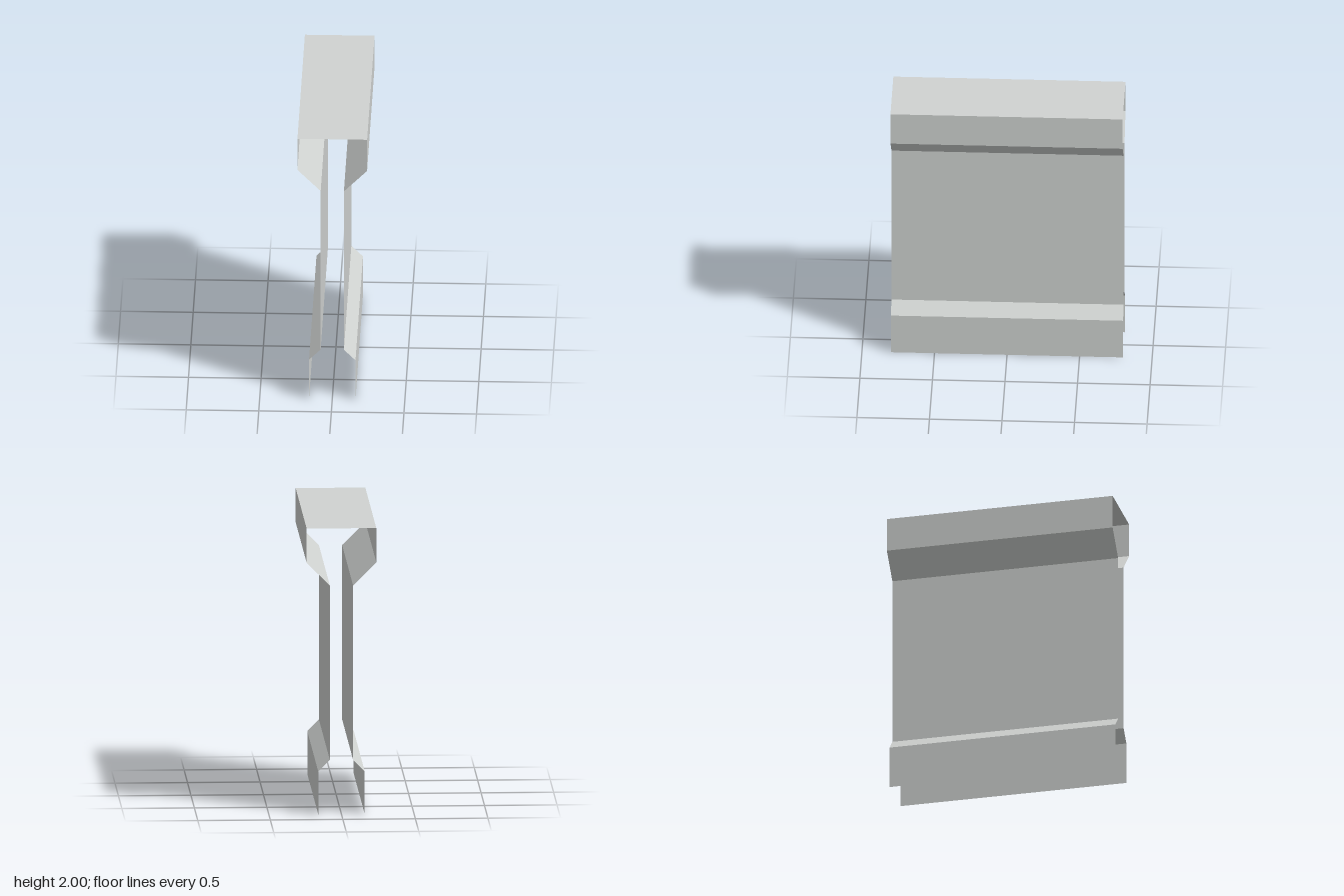
import * as THREE from 'three';

const HALF_LENGTH = 0.8;

// Half of the sheet's profile, from the middle of the roof down to the foot: [x, y]
const PROFILE = [[0.24, 2], [0.24, 1.76], [0.08, 1.6], [0.08, 0.38], [0.16, 0.3], [0.16, 0]];
const NAMES = ['headSide', 'headSlope', 'web', 'footSlope', 'footSide'];

// Flat sheet running along z between two profile points
function strip(name, [ax, ay], [bx, by], material) {
  const h = HALF_LENGTH;
  const geometry = new THREE.BufferGeometry();
  geometry.setAttribute('position', new THREE.Float32BufferAttribute([
    ax, ay, h, bx, by, h, bx, by, -h, ax, ay, -h,
  ], 3));
  geometry.setIndex([0, 1, 2, 0, 2, 3]);
  geometry.computeVertexNormals();
  const mesh = new THREE.Mesh(geometry, material);
  mesh.name = name;
  return mesh;
}

export function createModel() {
  const group = new THREE.Group();
  group.name = 'foldedSheetBeam';
  const metal = new THREE.MeshStandardMaterial({ color: 0xd0d3d1, side: THREE.DoubleSide });
  metal.name = 'light grey metal';

  // Flat top joining both sides
  group.add(strip('top', [-0.24, 2], [0.24, 2], metal));

  // Folded walls, mirrored left and right
  for (const side of [1, -1]) {
    const wall = new THREE.Group();
    wall.name = side > 0 ? 'leftWall' : 'rightWall';
    NAMES.forEach((name, i) => {
      let ends = [PROFILE[i], PROFILE[i + 1]].map(([x, y]) => [x * side, y]);
      if (side < 0) ends.reverse(); // keeps the outside facing out
      wall.add(strip(name, ends[0], ends[1], metal));
    });
    group.add(wall);
  }
  return group;
}
